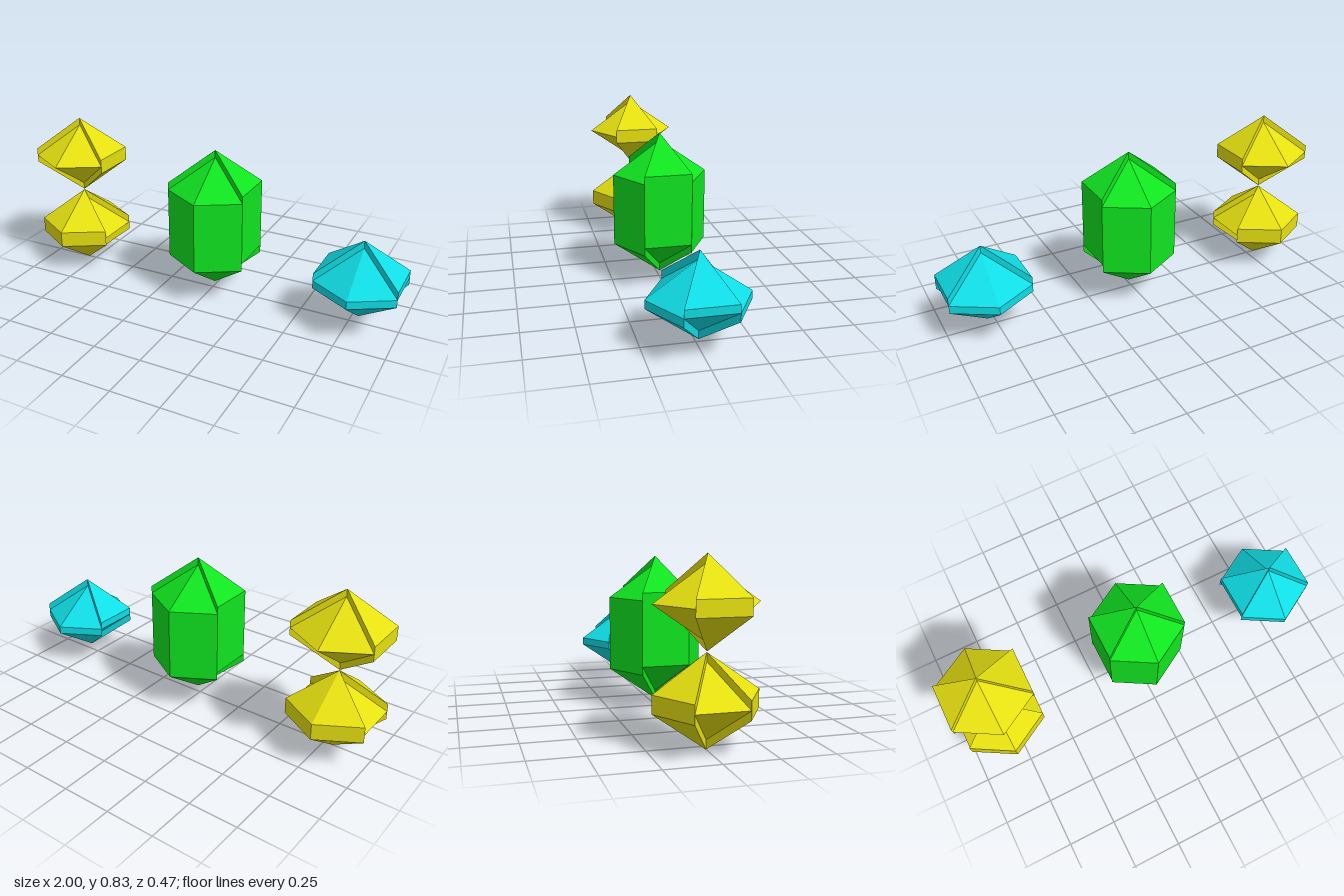
import * as THREE from 'three';
import { mergeGeometries } from 'three/addons/utils/BufferGeometryUtils.js';

const R = 0.237;          // hexagon corner radius
const STEP = Math.PI / 3; // one hexagon side
const CAP = 0.167;        // height of each pointed end

// Slice of a six-sided crystal: faceted outside plus its two flat radial walls
function sliceGeometry(low, high, phi, sides) {
  const pts = [new THREE.Vector2(0, low - CAP), new THREE.Vector2(R, low)];
  if (high > low) pts.push(new THREE.Vector2(R, high));
  pts.push(new THREE.Vector2(0, high + CAP));
  const parts = [new THREE.LatheGeometry(pts, sides, phi, sides * STEP)];
  for (const a of [phi, phi + sides * STEP]) {
    parts.push(new THREE.ShapeGeometry(new THREE.Shape(pts)).rotateY(a - Math.PI / 2));
  }
  return mergeGeometries(parts.map((g) => g.toNonIndexed()));
}

// Crystal whose side slices are offset from its front and back slices;
// each range is the [bottom, top] of the upright side faces
function crystal(name, color, x, sideRange, mainRange) {
  const group = new THREE.Group();
  group.name = name;
  const material = new THREE.MeshStandardMaterial({
    color, flatShading: true, side: THREE.DoubleSide,
  });
  const slices = [
    ['frontSlice', mainRange, -STEP, 2],
    ['leftSlice', sideRange, STEP, 1],
    ['backSlice', mainRange, 2 * STEP, 2],
    ['rightSlice', sideRange, 4 * STEP, 1],
  ];
  for (const [part, [low, high], phi, sides] of slices) {
    const mesh = new THREE.Mesh(sliceGeometry(low, high, phi, sides), material);
    mesh.name = part;
    group.add(mesh);
  }
  group.position.x = x;
  return group;
}

export function createModel() {
  const model = new THREE.Group();
  model.name = 'crystals';
  model.add(
    // Two stacked yellow crystals
    crystal('upperYellowCrystal', 0xe5e010, -0.795, [0.587, 0.66], [0.623, 0.623]),
    crystal('lowerYellowCrystal', 0xe5e010, -0.795, [0.21, 0.21], [0.168, 0.25]),
    // Tall middle crystal
    crystal('tallGreenCrystal', 0x10e520, 0.012, [0.244, 0.608], [0.204, 0.57]),
    // Small crystal
    crystal('smallCyanCrystal', 0x10dde5, 0.795, [0.244, 0.283], [0.204, 0.244]),
  );
  return model;
}
